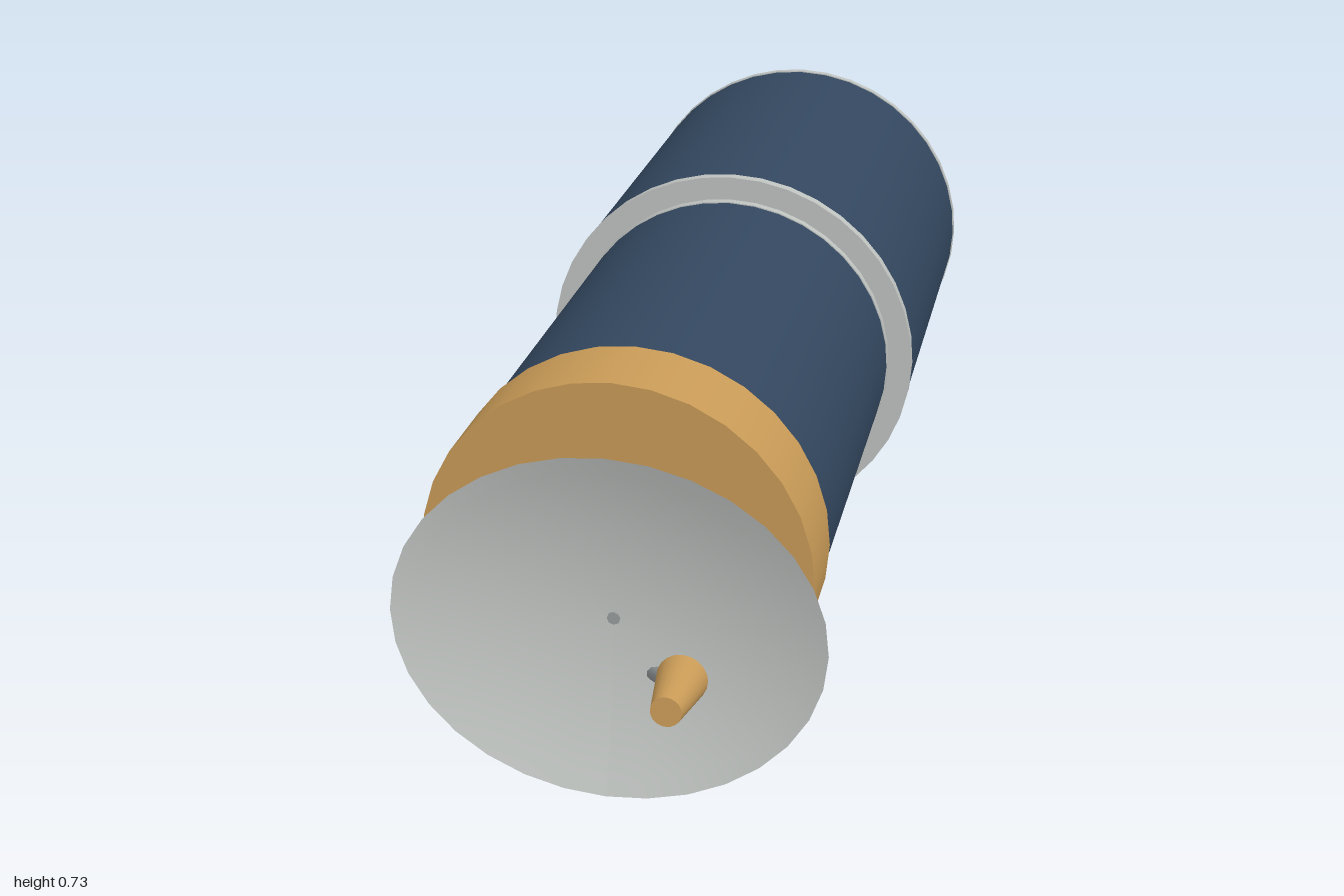
import * as THREE from 'three';

const mat = (name, color, side = THREE.FrontSide) => {
  const m = new THREE.MeshStandardMaterial({ color, side });
  m.name = name;
  return m;
};

export function createModel() {
  const navy = mat('navy panel', 0x33475f);
  const gold = mat('gold foil', 0xc99b57);
  const grey = mat('light grey', 0xbfc3c0, THREE.DoubleSide);
  const strutGrey = mat('strut grey', 0x94989a);

  const group = new THREE.Group();
  const axisY = 0.373;

  // Tapered rod between two points: r0 at the start, r1 at the end
  const rod = (name, a, b, r0, r1, sides, material) => {
    const from = new THREE.Vector3(...a), to = new THREE.Vector3(...b);
    const dir = to.clone().sub(from);
    const mesh = new THREE.Mesh(new THREE.CylinderGeometry(r1, r0, dir.length(), sides), material);
    mesh.position.copy(from).add(to).multiplyScalar(0.5);
    mesh.quaternion.setFromUnitVectors(new THREE.Vector3(0, 1, 0), dir.normalize());
    mesh.name = name;
    group.add(mesh);
  };

  // Drum along z, centred on the body axis
  const drum = (name, r, z0, z1, sides, material) => {
    const geo = new THREE.CylinderGeometry(r, r, z1 - z0, sides).rotateX(Math.PI / 2);
    const mesh = new THREE.Mesh(geo, material);
    mesh.position.set(0, axisY, (z0 + z1) / 2);
    mesh.name = name;
    group.add(mesh);
  };

  // Body: wide rear skirt, inner drum and foil-covered front
  drum('rearRim', 0.358, -1, -0.985, 40, grey);
  drum('rearDrum', 0.356, -0.985, -0.22, 40, navy);
  drum('skirtRim', 0.358, -0.22, -0.2, 40, grey);
  drum('innerCollar', 0.314, -0.2, -0.184, 40, grey);
  drum('innerDrum', 0.312, -0.184, 0.56, 40, navy);
  drum('frontFoil', 0.32, 0.56, 0.708, 32, gold);

  // Shallow oval dish, tilted slightly upward
  const R = 0.355, depth = 0.056, tilt = 0.068;
  const profile = [];
  for (let i = 0; i <= 10; i++) {
    const t = i / 10;
    profile.push(new THREE.Vector2(R * t, depth * t * t));
  }
  const dishGeo = new THREE.LatheGeometry(profile, 32).rotateX(Math.PI / 2).scale(1, 0.828, 1);
  dishGeo.computeVertexNormals();
  const dish = new THREE.Mesh(dishGeo, grey);
  dish.name = 'dish';
  dish.position.set(0, 0.292, 0.722);
  dish.rotation.x = -tilt;
  group.add(dish);

  // Dish mount, feed arm and feed horn
  rod('dishMount', [0, 0.289, 0.70], [0, 0.291, 0.724], 0.011, 0.011, 8, strutGrey);
  rod('feedArm', [0.053, 0.186, 0.70], [0.147, 0.297, 0.91], 0.012, 0.012, 8, strutGrey);
  rod('feedHorn', [0.15, 0.3, 0.891], [0.15, 0.308, 0.998], 0.04, 0.024, 20, gold);

  return group;
}
